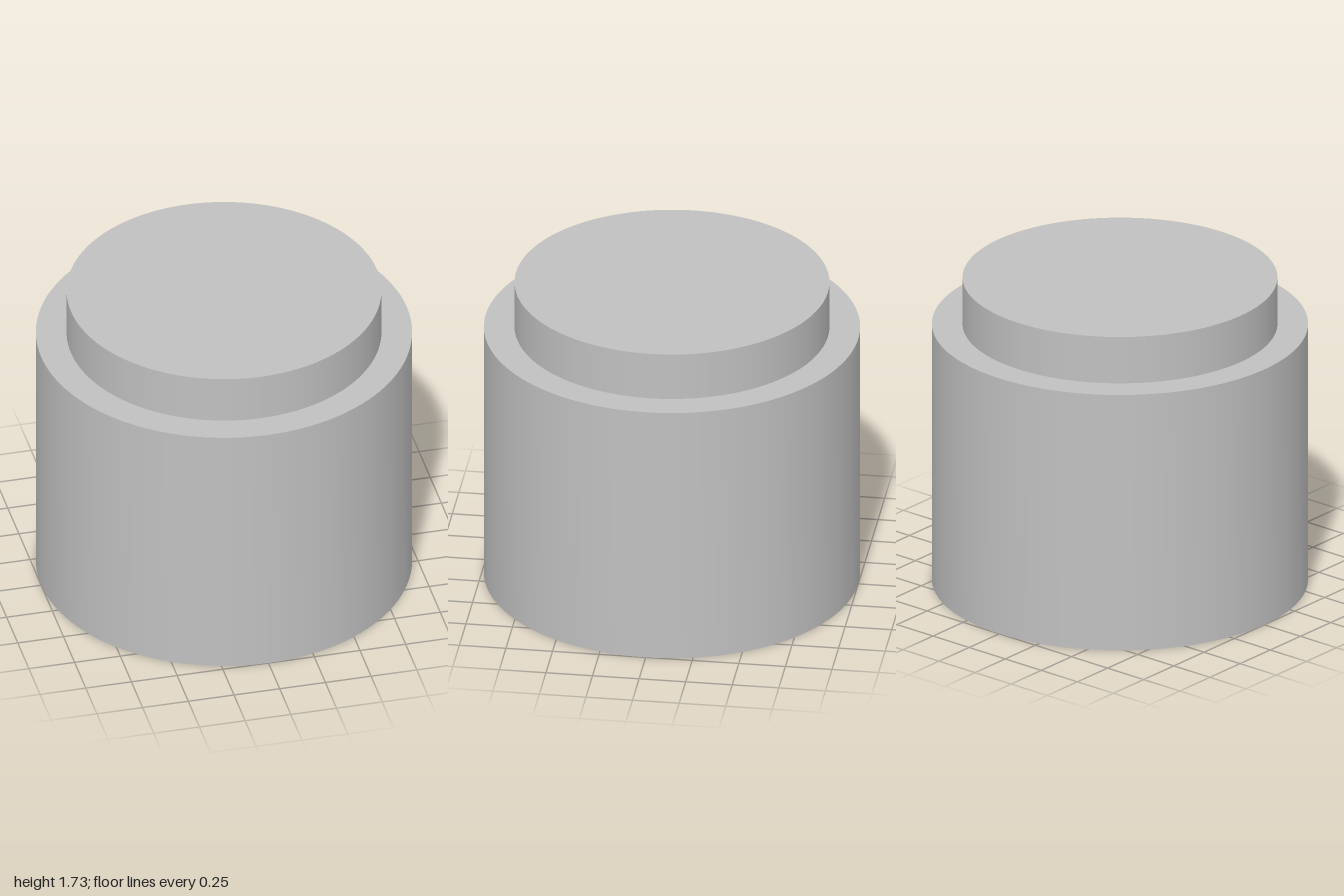
import * as THREE from 'three';
import { toCreasedNormals } from 'three/addons/utils/BufferGeometryUtils.js';

const BODY_R = 1, BODY_H = 1.467, TOP_R = 0.837, TOP_H = 0.266;
const BORE_R = 0.413, FLAT_X = 0.207, BORE_DEPTH = 1.33;

// D-shaped outline: a circle cut by a flat on its +x side
function dOutline(PathType) {
  const a = Math.acos(FLAT_X / BORE_R);
  const path = new PathType();
  path.absarc(0, 0, BORE_R, a, Math.PI * 2 - a, false);
  path.closePath();
  return path;
}

// Extrude a shape upwards, smooth round its curves and sharp at its edges
function extrudeUp(shape, height) {
  const geo = new THREE.ExtrudeGeometry(shape, { depth: height, bevelEnabled: false, curveSegments: 64 });
  geo.rotateX(-Math.PI / 2);
  return toCreasedNormals(geo, Math.PI / 6);
}

export function createModel() {
  const group = new THREE.Group();
  const grey = new THREE.MeshStandardMaterial({ color: 0xc0c0c0 });
  grey.name = 'light grey';

  const add = (name, geometry, y) => {
    const mesh = new THREE.Mesh(geometry, grey);
    mesh.name = name;
    mesh.position.y = y;
    group.add(mesh);
  };

  // Main cylinder with the D-shaped shaft bore
  const disc = new THREE.Shape();
  disc.absarc(0, 0, BODY_R, 0, Math.PI * 2, false);
  disc.holes.push(dOutline(THREE.Path));
  add('body', extrudeUp(disc, BODY_H), 0);

  // Closed end of the bore
  add('boreEnd', extrudeUp(dOutline(THREE.Shape), BODY_H - BORE_DEPTH), BORE_DEPTH);

  // Narrower raised top
  add('raisedTop', new THREE.CylinderGeometry(TOP_R, TOP_R, TOP_H, 128), BODY_H + TOP_H / 2);

  return group;
}
